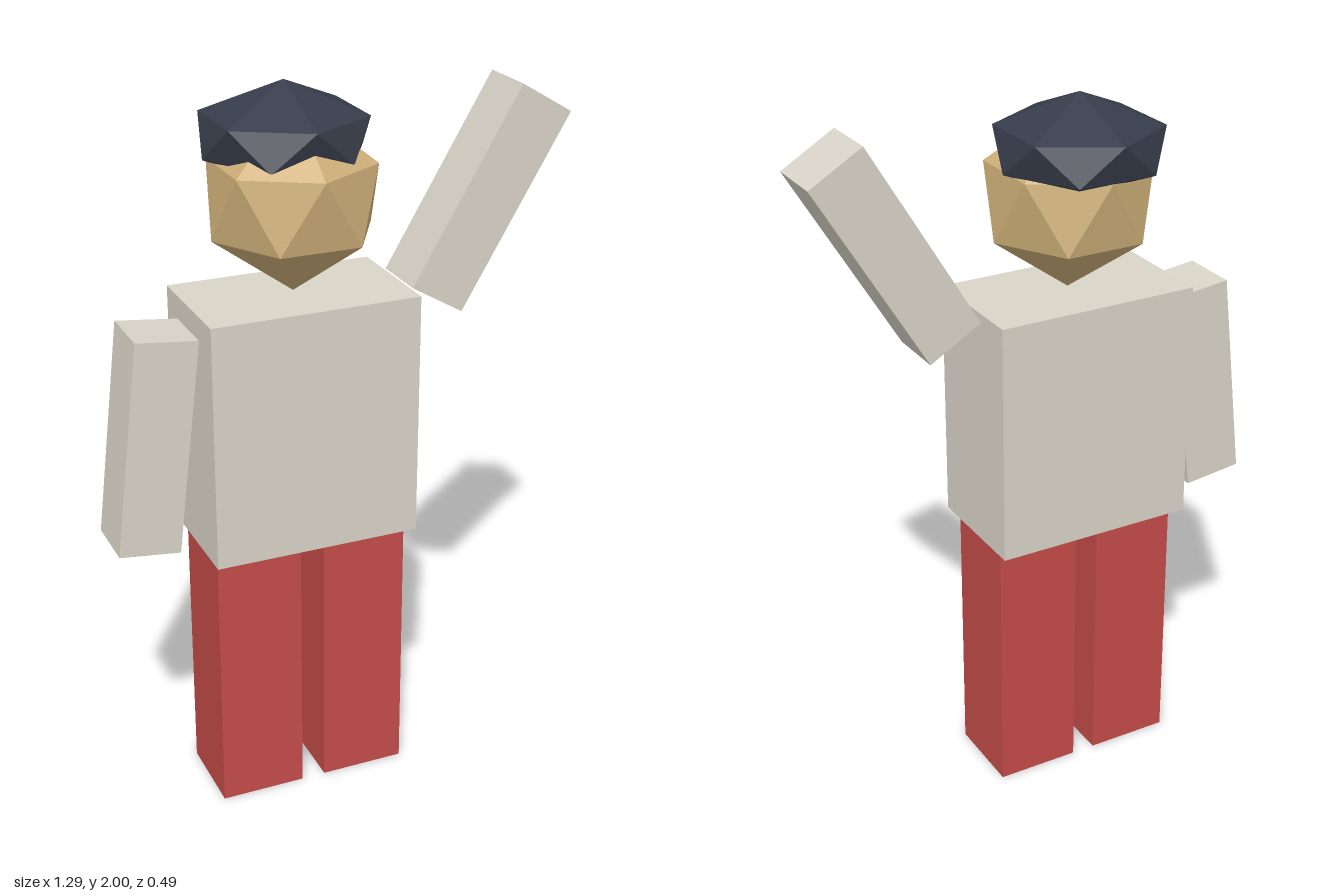
import * as THREE from 'three';

const material = (color) => new THREE.MeshStandardMaterial({ color, flatShading: true });

// Faceted ball: two hexagonal rings turned half a step, closed by a point above and below
function facetedBall(radius, ringY, poleY) {
  const ring = (y, turn) => Array.from({ length: 6 }, (_, i) => {
    const a = (i + turn) * Math.PI / 3;
    return [radius * Math.sin(a), y, radius * Math.cos(a)];
  });
  const upper = ring(ringY, 0), lower = ring(-ringY, 0.5);
  const top = [0, poleY, 0], bottom = [0, -poleY, 0];
  const positions = [];
  const tri = (...corners) => corners.forEach((c) => positions.push(...c));
  for (let i = 0; i < 6; i++) {
    const j = (i + 1) % 6;
    tri(top, upper[i], upper[j]);
    tri(upper[i], lower[i], upper[j]);
    tri(lower[i], lower[j], upper[j]);
    tri(bottom, lower[j], lower[i]);
  }
  const geometry = new THREE.BufferGeometry();
  geometry.setAttribute('position', new THREE.Float32BufferAttribute(positions, 3));
  geometry.computeVertexNormals();
  return geometry;
}

export function createModel() {
  const model = new THREE.Group();
  const shirt = material(0xd9d4c8);
  const trousers = material(0xc44c48);
  const skin = material(0xcdae78);
  const dark = material(0x363c4a);
  const midX = -0.115;

  const add = (name, geometry, mat, x, y, z, tilt = 0) => {
    const mesh = new THREE.Mesh(geometry, mat);
    mesh.name = name;
    mesh.position.set(x, y, z);
    mesh.rotation.z = tilt;
    model.add(mesh);
  };

  // Torso and legs
  add('torso', new THREE.BoxGeometry(0.578, 0.68, 0.34), shirt, midX, 1.115, 0.025);
  for (const [name, side] of [['leftLeg', 1], ['rightLeg', -1]]) {
    add(name, new THREE.BoxGeometry(0.24, 0.775, 0.24), trousers, midX + side * 0.154, 0.3875, 0.028);
  }

  // Arms: the left one raised, the right one hanging
  const arm = new THREE.BoxGeometry(0.17, 0.597, 0.17);
  add('leftArm', arm, shirt, 0.416, 1.66, 0.025, -0.534);
  add('rightArm', arm, shirt, -0.526, 1.106, 0.025, -0.118);

  // Head and the flattened cap of hair set slightly back
  add('head', facetedBall(0.221, 0.093, 0.254), skin, midX, 1.712, 0.025);
  add('hair', facetedBall(0.221, 0.049, 0.135), dark, midX, 1.865, -0.027);

  return model;
}
